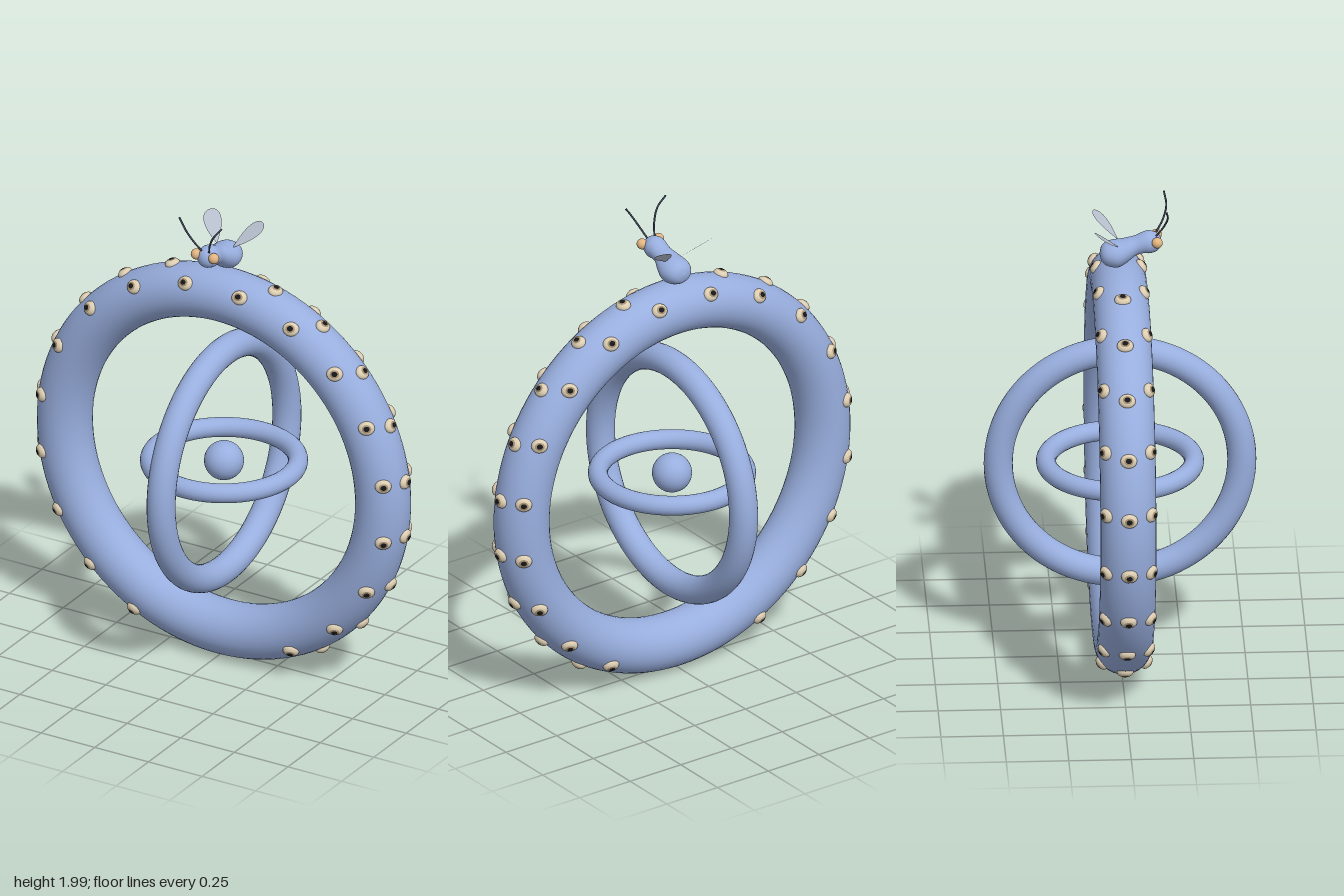
import * as THREE from 'three';

const mat = (name, color, side = THREE.FrontSide) => {
  const m = new THREE.MeshStandardMaterial({ color, side });
  m.name = name;
  return m;
};

export function createModel() {
  const blue = mat('periwinkle blue', 0x98aede);
  const cream = mat('cream', 0xdccdb2);
  const tan = mat('tan iris', 0xa38f70);
  const black = mat('black pupil', 0x16161a);
  const amber = mat('amber', 0xe3b682);
  const slate = mat('dark slate', 0x3e4859);
  const grey = mat('wing grey', 0xb9c1cf, THREE.DoubleSide);

  const model = new THREE.Group();
  const add = (name, geometry, material, parent = model) => {
    const mesh = new THREE.Mesh(geometry, material);
    mesh.name = name;
    parent.add(mesh);
    return mesh;
  };

  // Three nested rings around a ball, one in each plane
  const CY = 0.86, R = 0.742, r = 0.112;
  add('outerRing', new THREE.TorusGeometry(R, r, 32, 120), blue).position.y = CY;
  const middle = add('middleRing', new THREE.TorusGeometry(0.487, 0.058, 24, 96), blue);
  middle.position.y = CY;
  middle.rotation.y = Math.PI / 2;
  const inner = add('innerRing', new THREE.TorusGeometry(0.296, 0.04, 20, 80), blue);
  inner.position.y = CY;
  inner.rotation.x = Math.PI / 2;
  add('centreBall', new THREE.SphereGeometry(0.08, 32, 24), blue).position.y = CY;

  // Ring eyes: low dome, iris and pupil, each a cap of a slightly larger ellipsoid
  const cap = (size, angle) => new THREE.SphereGeometry(size, 18, 8, 0, Math.PI * 2, 0, angle)
    .rotateX(Math.PI / 2).scale(1.08, 0.94, 0.66);
  const domeGeo = cap(0.031, Math.PI / 2 + 0.3);
  const irisGeo = cap(0.0316, 0.6);
  const pupilGeo = cap(0.0322, 0.36);
  const addEye = (around, tilt) => {
    const eye = new THREE.Group();
    eye.name = 'ringEye';
    const n = new THREE.Vector3(Math.sin(around) * Math.cos(tilt),
      Math.cos(around) * Math.cos(tilt), Math.sin(tilt));
    eye.position.set(Math.sin(around) * R, CY + Math.cos(around) * R, 0).addScaledVector(n, r - 0.002);
    eye.lookAt(eye.position.clone().add(n));
    add('eyeball', domeGeo, cream, eye);
    add('iris', irisGeo, tan, eye);
    add('pupil', pupilGeo, black, eye);
    model.add(eye);
  };
  for (const side of [-1, 1]) {
    for (let i = 0; i < 9; i++) {
      addEye(side * (i + 1) * Math.PI / 11, 0);
      for (const tilt of [-0.95, 0.95]) addEye(side * (i + 0.5) * Math.PI / 10, tilt);
    }
  }

  // Insect body: a lathe laid along z, with the head end raised
  const insect = new THREE.Group();
  insect.name = 'insect';
  model.add(insect);
  const profile = new THREE.SplineCurve([[0, -0.082], [0.03, -0.074], [0.048, -0.052], [0.056, -0.015],
    [0.05, 0.025], [0.041, 0.06], [0.043, 0.09], [0.046, 0.118], [0.036, 0.148], [0.018, 0.162],
    [0, 0.166]].map(([x, y]) => new THREE.Vector2(x, y))).getPoints(44);
  profile.forEach((p) => { p.x = Math.max(p.x, 0); });
  const body = new THREE.LatheGeometry(profile, 32).rotateX(Math.PI / 2);
  const pos = body.attributes.position;
  for (let i = 0; i < pos.count; i++) {
    const t = THREE.MathUtils.smoothstep(pos.getZ(i), -0.02, 0.11);
    pos.setX(i, pos.getX(i) * (1.17 - 0.17 * t));
    pos.setY(i, pos.getY(i) + 1.773 + 0.048 * t);
  }
  body.computeVertexNormals();
  add('insectBody', body, blue, insect);

  // Teardrop wing outline, base at the origin
  const wing = new THREE.Shape();
  wing.moveTo(0, 0);
  wing.bezierCurveTo(0.012, 0.03, 0.036, 0.07, 0.036, 0.115);
  wing.bezierCurveTo(0.036, 0.175, -0.036, 0.175, -0.036, 0.115);
  wing.bezierCurveTo(-0.036, 0.07, -0.012, 0.03, 0, 0);
  const wingGeo = new THREE.ShapeGeometry(wing, 14);

  // Paired insect parts
  for (const s of [-1, 1]) {
    add('insectEye', new THREE.SphereGeometry(0.022, 20, 14), amber, insect)
      .position.set(s * 0.041, 1.834, 0.147);

    const path = new THREE.CatmullRomCurve3([[0.018, 1.855, 0.145], [0.037, 1.9, 0.172],
      [0.064, 1.95, 0.188], [0.1, 1.997, 0.18]].map(([x, y, z]) => new THREE.Vector3(s * x, y, z)));
    add('antenna', new THREE.TubeGeometry(path, 20, 0.004, 8), slate, insect);

    const d = new THREE.Vector3(s * 0.55, 0.59, -0.59).normalize();
    const n = new THREE.Vector3(s * -0.19, 0.77, 0.6);
    n.addScaledVector(d, -n.dot(d)).normalize();
    const w = new THREE.Vector3().crossVectors(d, n);
    const mesh = add('wing', wingGeo, grey, insect);
    mesh.quaternion.setFromRotationMatrix(new THREE.Matrix4().makeBasis(w, d, n));
    mesh.position.set(s * 0.035, 1.815, -0.005);
  }
  return model;
}
